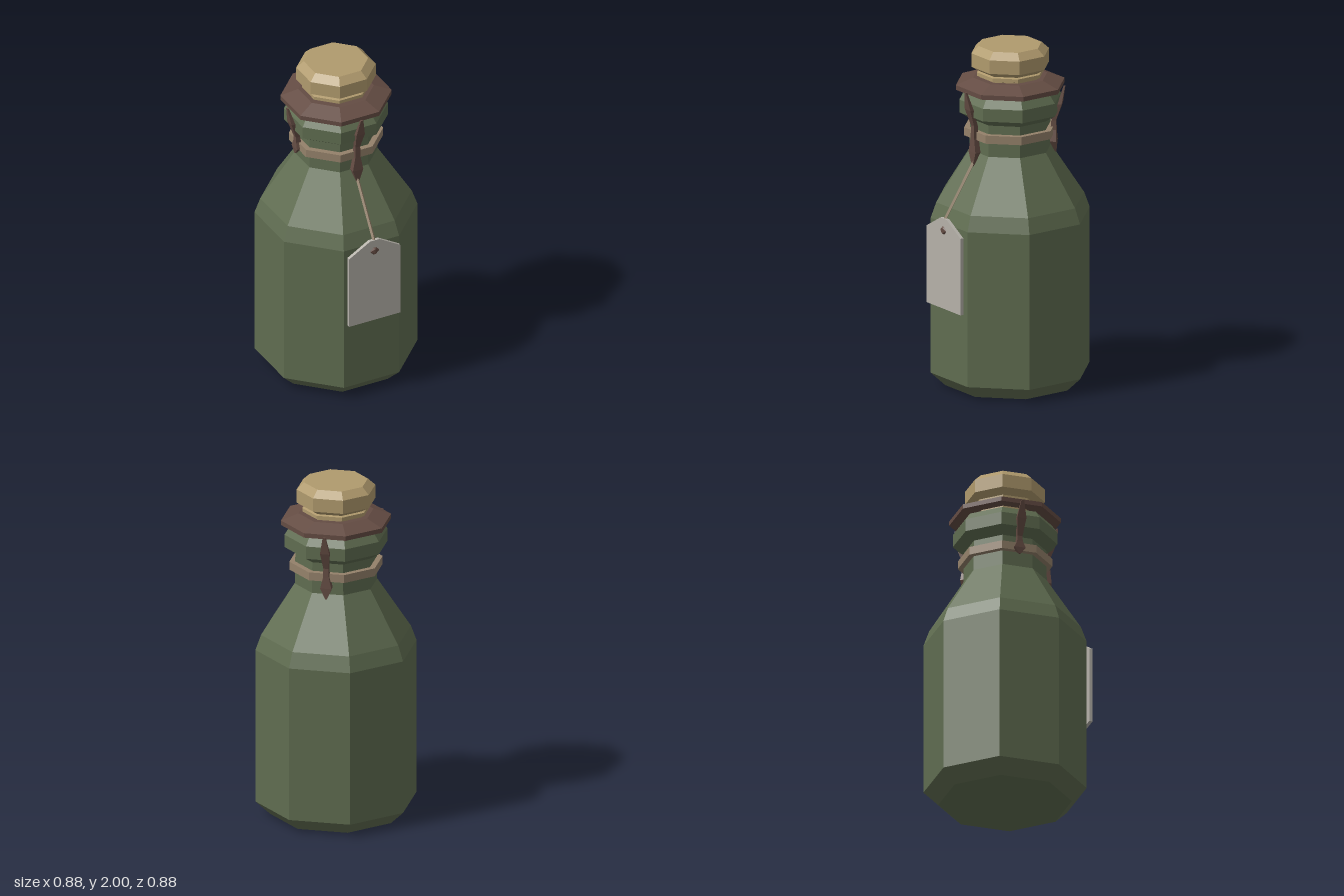
import * as THREE from 'three';

const paint = (name, color) => {
  const m = new THREE.MeshStandardMaterial({ color });
  m.name = name;
  return m;
};

// Faceted mesh: split the vertices so that every face gets its own normal
function part(name, geometry, material) {
  const g = geometry.index ? geometry.toNonIndexed() : geometry;
  g.computeVertexNormals();
  const mesh = new THREE.Mesh(g, material);
  mesh.name = name;
  return mesh;
}

// Eight-sided turned form; profile is [distance to flat, height], bottom to top
function octagon(profile) {
  const k = 1 / Math.cos(Math.PI / 8);
  const points = profile.map(([r, y]) => new THREE.Vector2(r * k, y));
  return new THREE.LatheGeometry(points, 8, Math.PI / 8);
}

// Hanging strip with rectangular section; rows are [y, outward, half width, half thickness]
function strip(rows) {
  const n = rows.length - 1;
  const g = new THREE.CylinderGeometry(Math.SQRT2, Math.SQRT2, 1, 4, n, false, Math.PI / 4);
  const p = g.attributes.position;
  for (let i = 0; i < p.count; i++) {
    const [y, out, w, t] = rows[Math.round((0.5 - p.getY(i)) * n)];
    p.setXYZ(i, p.getX(i) * w, y, out + p.getZ(i) * t);
  }
  return g;
}

export function createModel() {
  const model = new THREE.Group();
  model.name = 'corkedBottle';

  const glass = paint('greenGlass', 0x5f6c50);
  const cork = paint('cork', 0xb09a6d);
  const leather = paint('brownLeather', 0x644c43);
  const twine = paint('twine', 0x94816a);
  const paper = paint('tagPaper', 0xb5b1a9);

  const body = new THREE.Group();
  body.name = 'bottleWithStopper';
  body.position.set(-0.01, 0, -0.01);
  model.add(body);

  // Bottle with bevelled foot, shoulder, neck and lip
  body.add(part('bottle', octagon([
    [0, 0], [0.352, 0], [0.43, 0.08], [0.43, 1.0], [0.4, 1.09], [0.22, 1.39],
    [0.217, 1.575], [0.275, 1.615], [0.275, 1.69], [0.245, 1.735], [0, 1.735],
  ]), glass));

  // Stopper with a wider bevelled head
  body.add(part('stopper', octagon([
    [0, 1.7], [0.205, 1.7], [0.205, 1.745], [0.165, 1.77], [0.165, 1.82],
    [0.18, 1.825], [0.18, 1.845], [0.165, 1.85], [0.21, 1.88], [0.21, 1.96], [0.17, 2], [0, 2],
  ]), cork));

  // Flared leather collar, hollow underneath
  body.add(part('collar', octagon([
    [0.16, 1.785], [0.28, 1.748], [0.294, 1.75], [0.294, 1.777], [0.2, 1.815], [0.16, 1.815], [0.16, 1.785],
  ]), leather));

  // Twine band round the neck
  body.add(part('neckBand', octagon([
    [0.21, 1.476], [0.249, 1.476], [0.249, 1.524], [0.21, 1.524], [0.21, 1.476],
  ]), twine));

  // Three leather strips of different length, tucked under the band
  const strips = [
    ['tagStrip', Math.PI / 4, 1.32],
    ['sideStrip', -Math.PI / 4, 1.45],
    ['backStrip', Math.PI, 1.375],
  ];
  for (const [name, angle, end] of strips) {
    const at = (f) => 1.56 + (end - 1.56) * f;
    const mesh = part(name, strip([
      [1.765, 0.312, 0.008, 0.005],
      [1.66, 0.288, 0.027, 0.012],
      [1.56, 0.252, 0.015, 0.013],
      [at(0.3), 0.25, 0.017, 0.016],
      [at(0.65), 0.251, 0.033, 0.018],
      [end, 0.262, 0.005, 0.004],
    ]), leather);
    mesh.rotation.y = angle;
    body.add(mesh);
  }

  // Tag hanging off the front left flat
  const tagGroup = new THREE.Group();
  tagGroup.name = 'hangingTag';
  tagGroup.rotation.y = Math.PI / 4;
  body.add(tagGroup);

  const outline = new THREE.Shape([
    [-0.165, 0.51], [0.165, 0.51], [0.165, 0.965], [0.03, 1.045], [-0.03, 1.045], [-0.165, 0.965],
  ].map(([x, y]) => new THREE.Vector2(x, y)));
  const tagGeometry = new THREE.ExtrudeGeometry(outline, { depth: 0.02, bevelEnabled: false });
  tagGeometry.translate(0, 0, 0.45);
  tagGroup.add(part('tag', tagGeometry, paper));

  // Bead through the tag
  const bead = part('tagBead', new THREE.IcosahedronGeometry(0.032), leather);
  bead.scale.z = 0.75;
  bead.position.set(0, 0.975, 0.46);
  tagGroup.add(bead);

  // String from the strip to the tag
  const from = new THREE.Vector3(0, 1.35, 0.255);
  const to = new THREE.Vector3(0, 1.04, 0.46);
  const string = part('tagString',
    new THREE.CylinderGeometry(0.01, 0.01, from.distanceTo(to), 4), twine);
  string.position.copy(from).lerp(to, 0.5);
  string.quaternion.setFromUnitVectors(new THREE.Vector3(0, 1, 0), from.clone().sub(to).normalize());
  tagGroup.add(string);

  return model;
}
